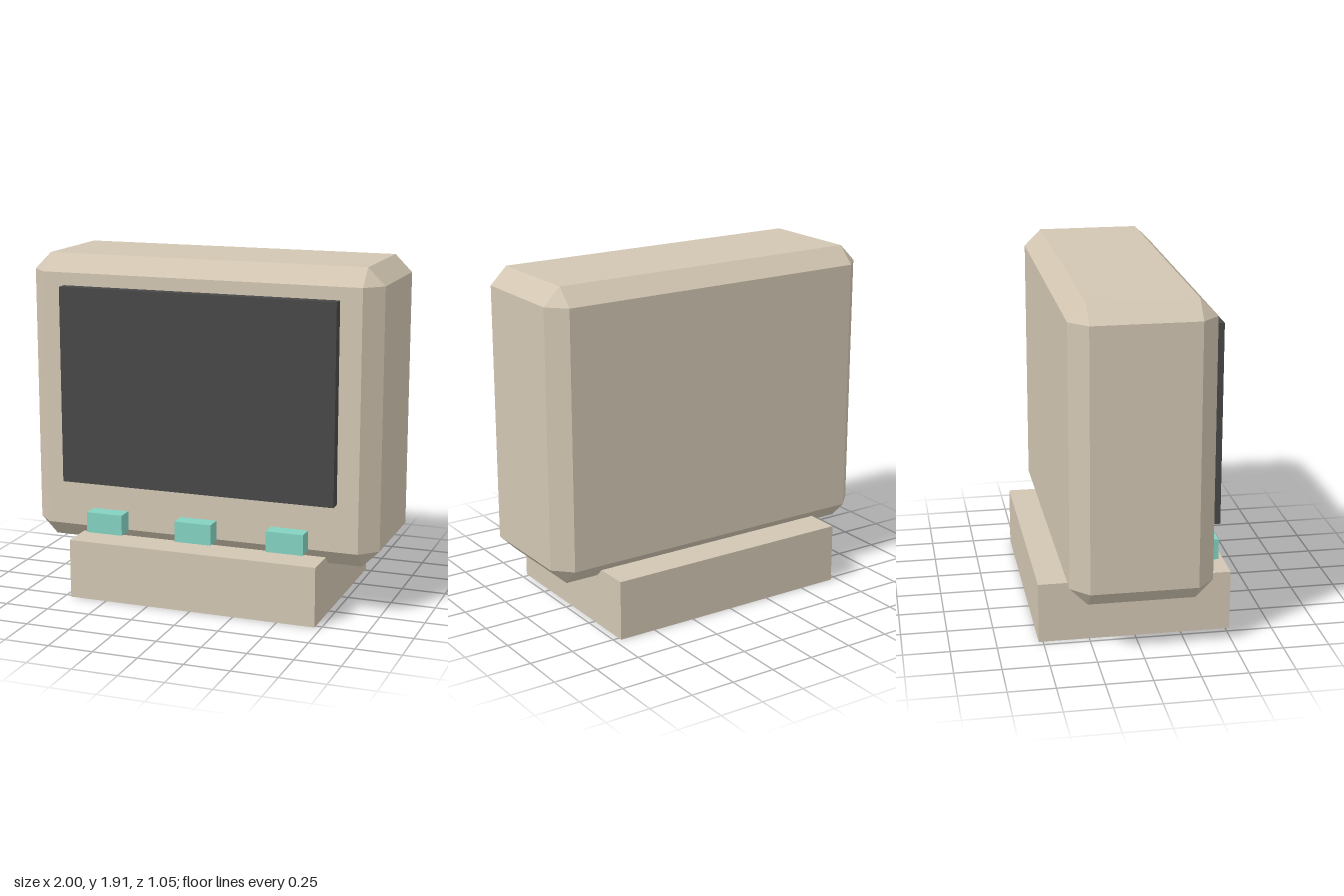
import * as THREE from 'three';
import { ConvexGeometry } from 'three/addons/geometries/ConvexGeometry.js';

const material = (name, color) => {
  const m = new THREE.MeshStandardMaterial({ color });
  m.name = name;
  return m;
};

// Box with flat chamfered edges and triangular corners, centred on the origin
function chamferedBox(w, h, d, c) {
  const points = [];
  for (const sx of [-1, 1]) for (const sy of [-1, 1]) for (const sz of [-1, 1]) {
    const x = w / 2, y = h / 2, z = d / 2;
    points.push(
      new THREE.Vector3(sx * x, sy * (y - c), sz * (z - c)),
      new THREE.Vector3(sx * (x - c), sy * y, sz * (z - c)),
      new THREE.Vector3(sx * (x - c), sy * (y - c), sz * z),
    );
  }
  return new ConvexGeometry(points);
}

export function createModel() {
  const group = new THREE.Group();
  group.name = 'desktopMonitor';
  const casing = material('beige casing', 0xd2c6b2);
  const glass = material('dark screen', 0x484848);
  const teal = material('teal button', 0x84d2c0);

  const add = (name, geometry, mat, x, y, z) => {
    const mesh = new THREE.Mesh(geometry, mat);
    mesh.name = name;
    mesh.position.set(x, y, z);
    group.add(mesh);
  };

  // Chamfered housing resting in a plain block stand
  add('housing', chamferedBox(2, 1.618, 0.762, 0.095), casing, 0, 1.097, 0);
  add('stand', new THREE.BoxGeometry(1.428, 0.333, 1.047), casing, 0, 0.1665, 0);

  // Raised screen panel
  add('screen', new THREE.BoxGeometry(1.57, 1.095, 0.095), glass, 0, 1.193, 0.395);

  // Row of three buttons
  const button = new THREE.BoxGeometry(0.21, 0.115, 0.115);
  ['rightButton', 'middleButton', 'leftButton'].forEach((name, i) =>
    add(name, button, teal, (i - 1) * 0.524, 0.432, 0.417));

  return group;
}
